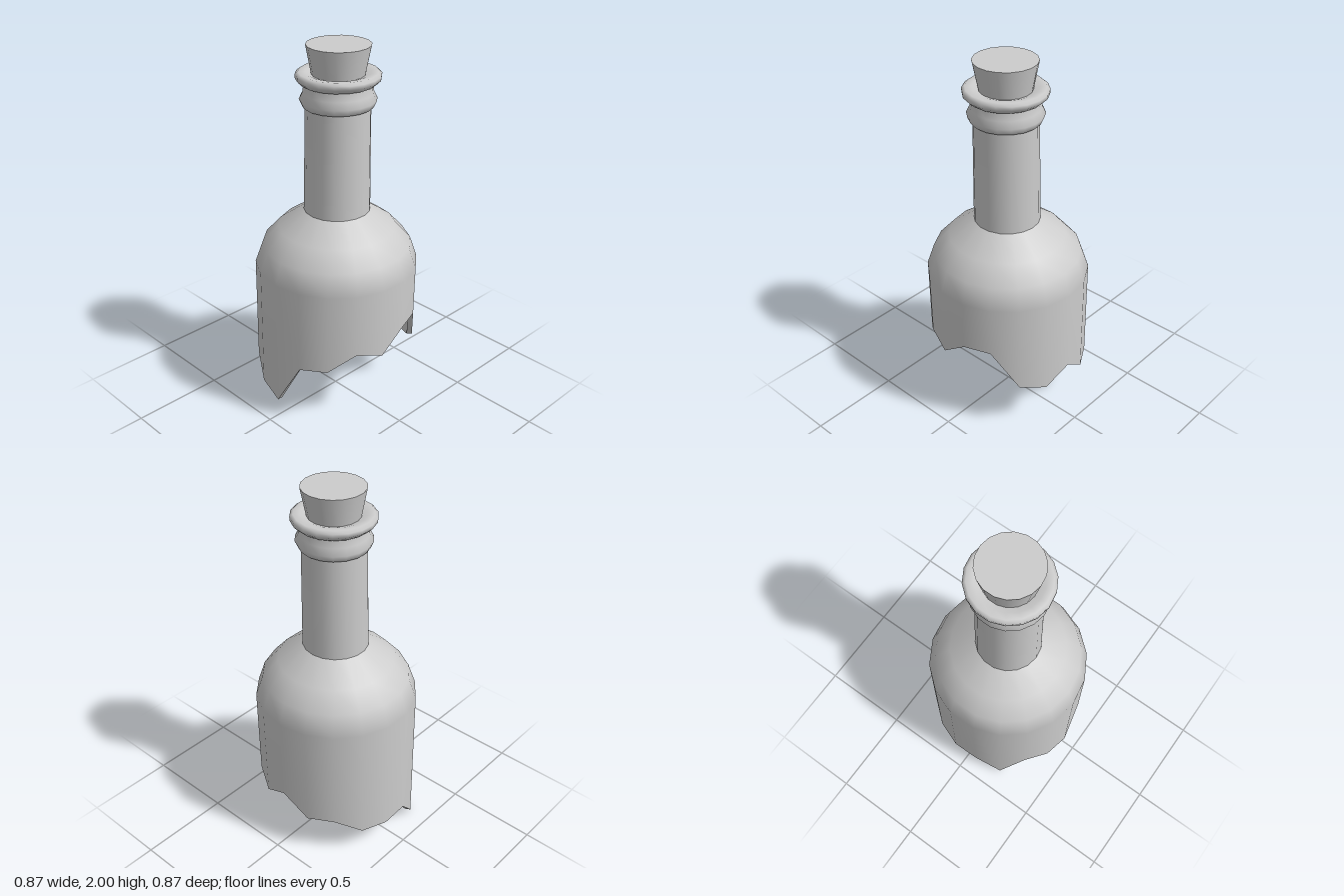
import * as THREE from 'three';

const SIDES = 18;
const RIM = -1; // marks profile points that follow the broken edge

// Height of the jagged edge at every 20 degrees, from +x towards +z
const edge = [0.35, 0.27, 0.31, 0.54, 0.54, 0.43, 0.47, 0.37, 0.36,
  0.10, 0.14, 0.23, 0.00, 0.16, 0.15, 0.155, 0.24, 0.24];

export function createModel() {
  const group = new THREE.Group();
  const material = new THREE.MeshStandardMaterial({ color: 0xcccccc });

  // Turns a profile of [radius, height] points, with the axis leaning slightly forward
  function addTurned(name, profile, flat = false) {
    const points = profile.map(([r, y]) => new THREE.Vector2(r, y));
    let geometry = new THREE.LatheGeometry(points, SIDES, Math.PI / 2);
    const pos = geometry.attributes.position;
    for (let i = 0; i < pos.count; i++) {
      let y = pos.getY(i);
      if (y === RIM) {
        const step = Math.round(Math.atan2(pos.getZ(i), pos.getX(i)) / (Math.PI * 2 / SIDES));
        y = edge[(step + SIDES) % SIDES];
        pos.setY(i, y);
      }
      pos.setZ(i, pos.getZ(i) + 0.0135 * (y - 0.3));
    }
    if (flat) {
      geometry = geometry.toNonIndexed();
      geometry.computeVertexNormals();
    }
    const mesh = new THREE.Mesh(geometry, material);
    mesh.name = name;
    group.add(mesh);
  }

  // Glass body: outside, broken edge and inside
  addTurned('body', [[0.435, RIM], [0.435, 0.82], [0.395, 0.935], [0.31, 1.03], [0.175, 1.125]]);
  addTurned('brokenEdge', [[0.405, RIM], [0.435, RIM]], true);
  addTurned('innerWall', [[0.135, 1.86], [0.145, 1.11], [0.29, 1.01], [0.37, 0.92], [0.405, 0.81], [0.405, RIM]], true);

  // Neck with a collar ring and a lip
  addTurned('neck', [[0.175, 1.12], [0.166, 1.69], [0.166, 1.81]]);
  addTurned('collar', [[0.16, 1.685], [0.18, 1.69], [0.196, 1.725], [0.178, 1.76], [0.173, 1.805]]);
  addTurned('lip', [[0.165, 1.80], [0.19, 1.807], [0.214, 1.83], [0.216, 1.852], [0.2, 1.865], [0.165, 1.862], [0.13, 1.85]]);

  // Tapered cork
  addTurned('corkSide', [[0.125, 1.80], [0.163, 2]]);
  addTurned('corkTop', [[0.163, 2], [0, 2]]);
  addTurned('corkBottom', [[0, 1.80], [0.125, 1.80]]);

  return group;
}
